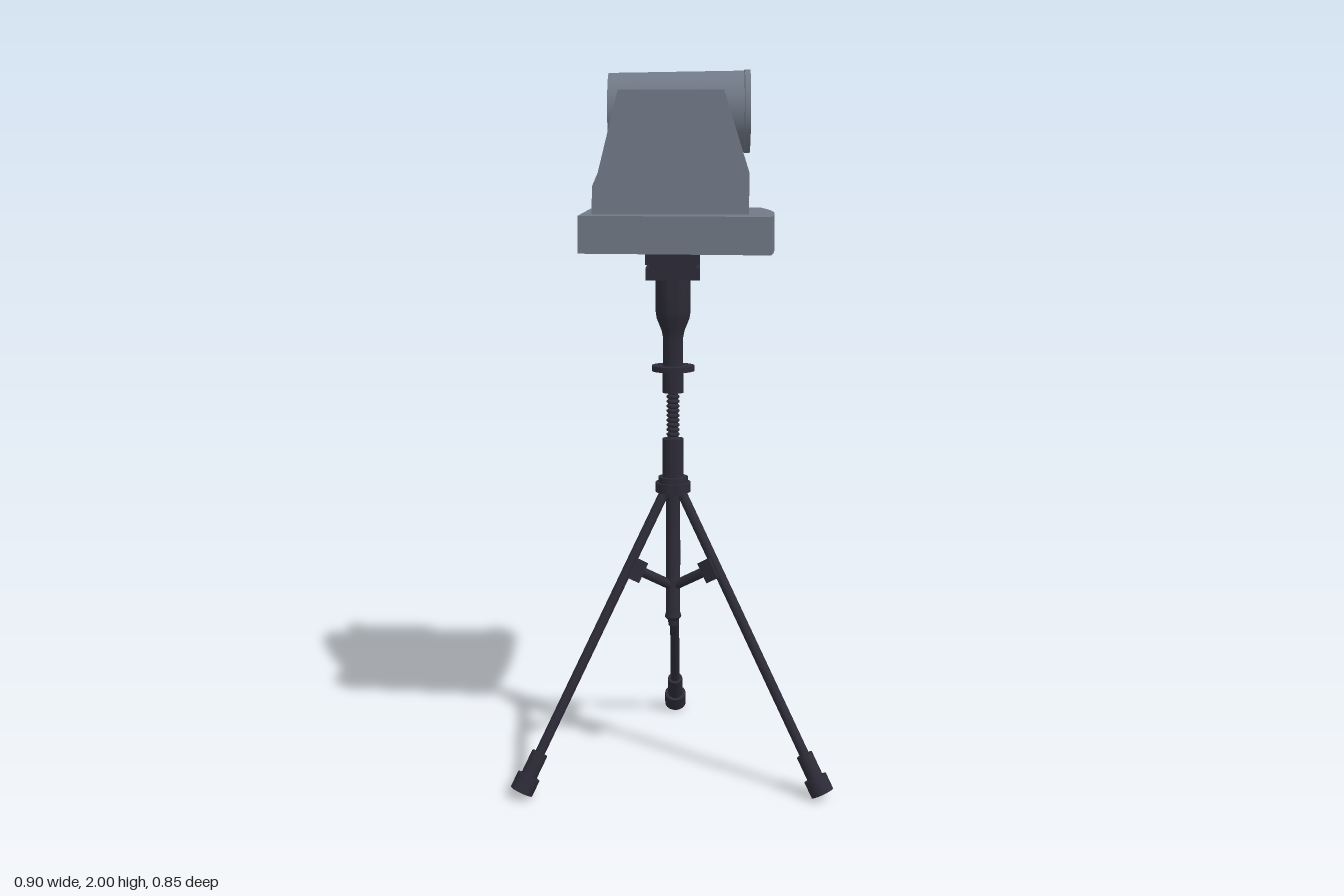
import * as THREE from 'three';
import { toCreasedNormals } from 'three/addons/utils/BufferGeometryUtils.js';

const CZ = 0.09; // tripod axis
const grey = new THREE.MeshStandardMaterial({ color: 0x707986 });
const midGrey = new THREE.MeshStandardMaterial({ color: 0x59616d });
const dark = new THREE.MeshStandardMaterial({ color: 0x2c2b37 });
const V = (x, y, z) => new THREE.Vector3(x, y, z);
const V2 = (p) => new THREE.Vector2(p[0], p[1]);

function add(parent, name, geometry, material, x = 0, y = 0, z = 0) {
  const mesh = new THREE.Mesh(geometry, material);
  mesh.name = name;
  mesh.position.set(x, y, z);
  parent.add(mesh);
  return mesh;
}

// Sharp-edged turned part from [radius, height] pairs
const turned = (points, sides = 32) =>
  toCreasedNormals(new THREE.LatheGeometry(points.map(V2), sides), 0.6);

// Cylinder running between two points
function rod(parent, name, a, b, r, sides = 16) {
  const mesh = add(parent, name, new THREE.CylinderGeometry(r, r, a.distanceTo(b), sides), dark);
  mesh.position.copy(a).add(b).multiplyScalar(0.5);
  mesh.quaternion.setFromUnitVectors(V(0, 1, 0), b.clone().sub(a).normalize());
  return mesh;
}

// Wedge-shaped plate with a bowed front edge
function basePlate() {
  const s = new THREE.Shape();
  s.moveTo(-0.245, 0.27);
  s.lineTo(-0.245, -0.27);
  s.lineTo(0.257, -0.335);
  s.quadraticCurveTo(0.299, 0, 0.257, 0.335);
  s.closePath();
  const g = new THREE.ExtrudeGeometry(s, { depth: 0.098, bevelEnabled: false, curveSegments: 24 });
  g.rotateX(-Math.PI / 2);
  return toCreasedNormals(g, 0.4);
}

// Yoke arm: side profile given thickness by a rule; inner face leans outward with height
function yokeArm(side, inner, outer) {
  const s = new THREE.Shape([[-0.215, 1.615], [0.205, 1.615], [0.205, 1.725],
    [0.137, 1.94], [-0.143, 1.94], [-0.197, 1.725], [-0.212, 1.69]].map(V2));
  const g = new THREE.ExtrudeGeometry(s, { depth: 1, bevelEnabled: false });
  const p = g.attributes.position;
  for (let i = 0; i < p.count; i++) {
    const lean = 0.02 * THREE.MathUtils.clamp((p.getY(i) - 1.69) / 0.25, 0, 1);
    const isOuter = (p.getZ(i) > 0.5) === (side > 0);
    const w = isOuter && outer === null
      ? 0.174 - 0.02 * (p.getX(i) + 0.215)
      : (isOuter ? outer : inner) + lean;
    p.setZ(i, side * w);
  }
  g.computeVertexNormals();
  return g;
}

function cameraHead() {
  const head = new THREE.Group();
  head.name = 'cameraHead';
  head.position.z = CZ;
  add(head, 'basePlate', basePlate(), grey, 0, 1.517, 0);

  for (const side of [-1, 1]) {
    add(head, 'yokeArm', yokeArm(side, 0.104, null), grey);
    add(head, 'yokeLining', yokeArm(side, 0.1, 0.104), dark);
  }
  add(head, 'yokeBridge', new THREE.BoxGeometry(0.42, 0.07, 0.21), grey, -0.005, 1.65, 0);
  add(head, 'bridgeLining', new THREE.BoxGeometry(0.42, 0.005, 0.21), dark, -0.005, 1.6875, 0);

  // Barrel along x: recessed back, slight taper, front rim and stepped bezel
  const barrel = new THREE.Group();
  barrel.name = 'barrel';
  barrel.position.y = 1.888;
  barrel.rotation.z = -Math.PI / 2;
  head.add(barrel);
  add(barrel, 'barrelShell', turned([[0, -0.165], [0.065, -0.165], [0.07, -0.175], [0.103, -0.175],
    [0.109, 0.193], [0.112, 0.195], [0.112, 0.21], [0.098, 0.21], [0.092, 0.203], [0.085, 0.203],
    [0.068, 0.185], [0, 0.185]], 48), grey);
  add(barrel, 'backCover', new THREE.CylinderGeometry(0.058, 0.058, 0.006, 40), midGrey, 0, -0.166, 0);
  add(barrel, 'lens', turned([[0.068, 0.186], [0.06, 0.19], [0.035, 0.195], [0, 0.197]], 40), dark);
  return head;
}

function tripod() {
  const t = new THREE.Group();
  t.name = 'tripod';
  t.position.z = CZ;

  // Mounting plates under the head
  add(t, 'topPlate', new THREE.BoxGeometry(0.15, 0.045, 0.15), dark, 0, 1.496, 0);
  add(t, 'plateNeck', new THREE.BoxGeometry(0.13, 0.012, 0.13), dark, 0, 1.468, 0);
  add(t, 'lowerPlate', new THREE.BoxGeometry(0.15, 0.032, 0.15), dark, 0, 1.448, 0);

  // Flared neck, locking disc and collar
  add(t, 'neck', turned([[0, 1.11], [0.03, 1.11], [0.03, 1.172], [0.06, 1.172], [0.06, 1.187],
    [0.028, 1.187], [0.028, 1.265], [0.032, 1.285], [0.046, 1.32], [0.049, 1.34], [0.049, 1.435], [0, 1.435]]), dark);
  const knob = add(t, 'lockKnob', new THREE.CylinderGeometry(0.02, 0.02, 0.025, 16), dark, 0, 1.24, -0.033);
  knob.rotation.x = Math.PI / 2;

  // Threaded spindle
  const thread = [[0, 0.97]];
  for (let i = 0; i <= 10; i++) {
    const y = 0.97 + i * 0.0135;
    thread.push([0.013, y], [0.018, y + 0.004], [0.018, y + 0.009]);
  }
  thread.push([0, 1.115]);
  add(t, 'threadedSpindle', turned(thread, 20), dark);

  // Hub, sleeve and lower column
  add(t, 'hub', turned([[0, 0.815], [0.035, 0.815], [0.035, 0.825], [0.05, 0.825], [0.05, 0.852],
    [0.042, 0.852], [0.042, 0.868], [0.03, 0.868], [0.03, 0.978], [0, 0.978]]), dark);
  add(t, 'lowerColumn', turned([[0, 0.428], [0.013, 0.428], [0.015, 0.445], [0.024, 0.455],
    [0.02, 0.47], [0.02, 0.82], [0, 0.82]], 20), dark);

  // Three legs with feet and braces, the first one pointing back
  const top = V(0, 0.835, -0.022), end = V(0, 0.018, -0.485);
  const at = (f) => top.clone().lerp(end, f);
  for (let i = 0; i < 3; i++) {
    const leg = new THREE.Group();
    leg.name = 'leg';
    leg.rotation.y = i * Math.PI * 2 / 3;
    t.add(leg);
    rod(leg, 'legTube', top, end, 0.014);
    rod(leg, 'footSleeve', at(0.875), at(0.96), 0.023, 20);
    rod(leg, 'foot', at(0.95), end, 0.033, 20);
    const clamp = add(leg, 'braceClamp', new THREE.BoxGeometry(0.04, 0.062, 0.042), dark, 0, 0.612, -0.125);
    clamp.rotation.x = Math.atan2(0.463, 0.817);
    rod(leg, 'brace', V(0, 0.545, 0), V(0, 0.61, -0.118), 0.014, 12);
  }

  // Pan handle: bent rod ending in a flat paddle
  const path = new THREE.CurvePath();
  const a = V(0, 1.446, -0.05), b = V(0, 1.446, -0.185), c = V(0, 1.446, -0.21);
  const d = V(0, 1.432, -0.228), e = V(0, 1.395, -0.28);
  path.add(new THREE.LineCurve3(a, b));
  path.add(new THREE.QuadraticBezierCurve3(b, c, d));
  path.add(new THREE.LineCurve3(d, e));
  add(t, 'handleRod', new THREE.TubeGeometry(path, 32, 0.008, 10), dark);
  const paddle = add(t, 'handlePaddle', new THREE.BoxGeometry(0.08, 0.02, 0.118), dark, 0, 1.374, -0.317);
  paddle.rotation.x = -0.63;
  return t;
}

export function createModel() {
  const model = new THREE.Group();
  model.name = 'cameraOnTripod';
  model.add(cameraHead(), tripod());
  return model;
}
